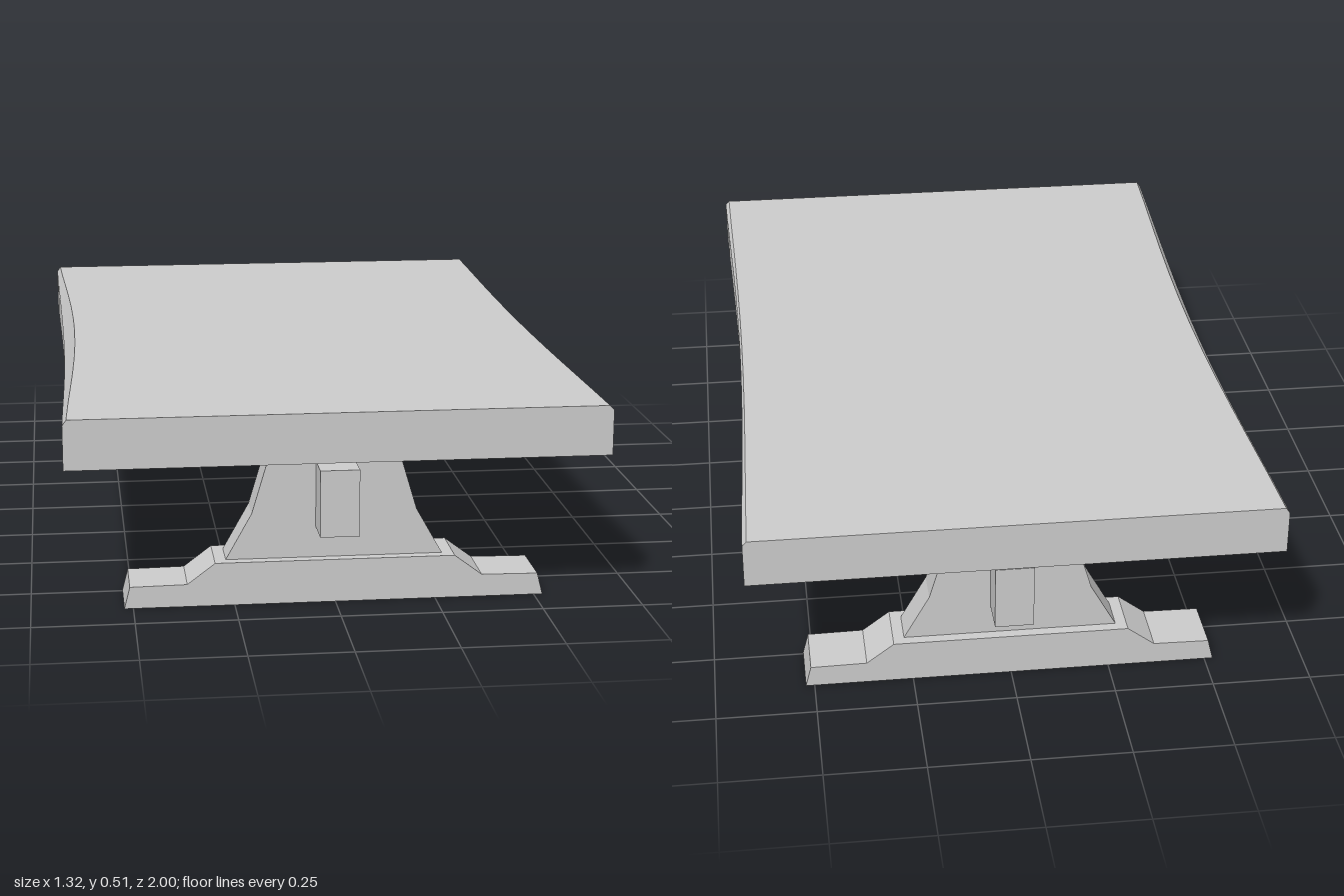
import * as THREE from 'three';

const material = new THREE.MeshStandardMaterial({ color: 0xcccccc, flatShading: true });

function addMesh(parent, name, geometry) {
  const mesh = new THREE.Mesh(geometry, material);
  mesh.name = name;
  parent.add(mesh);
  return mesh;
}

// Extrudes an outline along z, centred on z = 0
function slab(points, depth) {
  const shape = new THREE.Shape(points.map(([x, y]) => new THREE.Vector2(x, y)));
  return new THREE.ExtrudeGeometry(shape, { depth, bevelEnabled: false }).translate(0, 0, -depth / 2);
}

// Closes a half outline (right side, bottom to top) with its mirror image
function mirrored(half) {
  return [...half, ...half.map(([x, y]) => [-x, y]).reverse()];
}

// Tabletop section, counter-clockwise; the sides draw in gently towards mid-length
function topSection(z) {
  const waist = Math.pow(Math.cos(z * Math.PI / 2), 1.2);
  return [
    [-0.663 + 0.013 * waist, 0.386],
    [0.661 - 0.02 * waist, 0.386],
    [0.661 - 0.02 * waist, 0.499],
    [0.65 - 0.015 * waist, 0.51],
    [-0.653 + 0.033 * waist, 0.51],
    [-0.663 + 0.013 * waist, 0.496 - 0.038 * waist],
  ].map(([x, y]) => [x, y, z]);
}

function tabletopGeometry(steps = 12) {
  const rings = Array.from({ length: steps + 1 }, (_, i) => topSection(-1 + 2 * i / steps));
  const n = rings[0].length;
  const index = [];
  for (let s = 0; s < steps; s++) {
    for (let i = 0; i < n; i++) {
      const j = (i + 1) % n;
      const a = s * n, b = a + n;
      index.push(a + i, a + j, b + j, a + i, b + j, b + i);
    }
  }
  // End caps
  const last = steps * n;
  for (let k = 1; k < n - 1; k++) {
    index.push(last, last + k, last + k + 1, 0, k + 1, k);
  }
  const geometry = new THREE.BufferGeometry();
  geometry.setAttribute('position', new THREE.Float32BufferAttribute(rings.flat(2), 3));
  geometry.setIndex(index);
  const flat = geometry.toNonIndexed();
  flat.computeVertexNormals();
  return flat;
}

export function createModel() {
  const table = new THREE.Group();
  table.name = 'trestleTable';

  addMesh(table, 'tabletop', tabletopGeometry());

  // Stretcher beam passing through both trestles
  addMesh(table, 'stretcher', new THREE.BoxGeometry(0.097, 0.168, 1.91)).position.set(0.002, 0.271, 0);

  // Trestles: stepped foot with a flared post
  const foot = slab(mirrored([[0.522, 0], [0.508, 0.055], [0.367, 0.057], [0.298, 0.109]]), 0.146);
  const post = slab(mirrored([[0.27, 0.109], [0.205, 0.225], [0.157, 0.386]]), 0.092);
  for (const [side, name] of [[1, 'frontTrestle'], [-1, 'backTrestle']]) {
    const trestle = new THREE.Group();
    trestle.name = name;
    trestle.position.z = side * 0.816;
    addMesh(trestle, 'foot', foot);
    addMesh(trestle, 'post', post);
    table.add(trestle);
  }
  return table;
}
